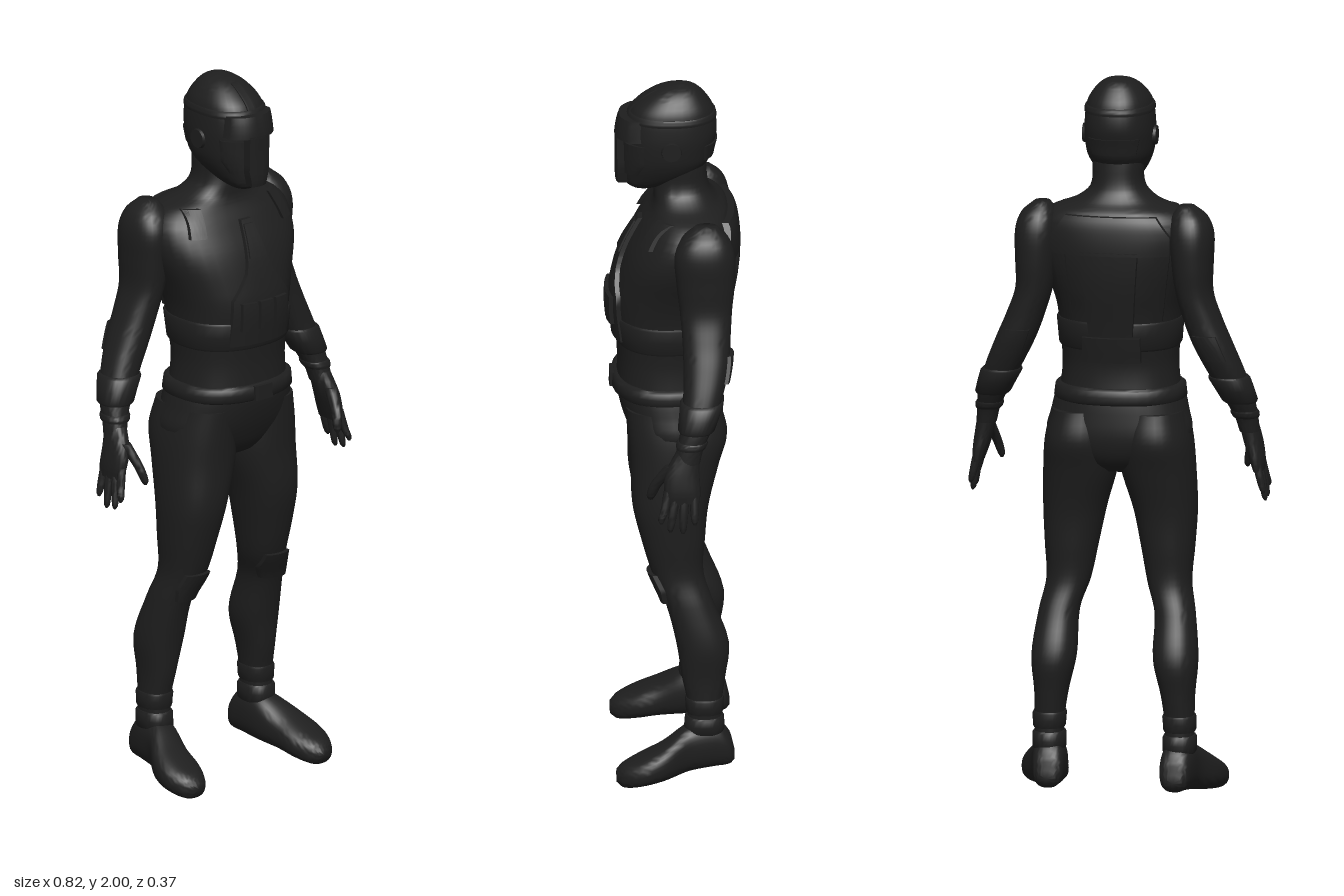
import * as THREE from 'three';
import { toCreasedNormals } from 'three/addons/utils/BufferGeometryUtils.js';

// Sections, top to bottom or back to front: [along, centreX, halfWidth, zFront, zBack]
const TORSO = [
  [1.10, 0, .168, .152, -.128], [1.20, 0, .158, .15, -.12], [1.27, 0, .162, .155, -.13], [1.36, 0, .171, .163, -.145],
  [1.42, 0, .187, .157, -.158], [1.52, 0, .222, .128, -.168], [1.60, 0, .22, .085, -.163], [1.64, 0, .182, .058, -.148],
  [1.665, 0, .115, .05, -.12], [1.70, 0, .075, .05, -.1], [1.77, 0, .07, .04, -.092]];
const PELVIS = [
  [.91, 0, .05, .03, -.07], [.94, 0, .12, .085, -.115], [1.0, 0, .195, .122, -.138],
  [1.08, 0, .186, .148, -.136], [1.15, 0, .168, .155, -.126]];
const HEAD = [
  [1.698, 0, .028, .11, .04], [1.71, 0, .045, .125, .01], [1.74, 0, .068, .13, -.06], [1.78, 0, .087, .13, -.1],
  [1.82, 0, .094, .13, -.112], [1.87, 0, .095, .13, -.122], [1.93, 0, .087, .112, -.112], [1.965, 0, .067, .075, -.09],
  [1.99, 0, .038, .028, -.063], [2.0, 0, .006, -.018, -.032]];
const LEG = [
  [.12, .18, .038, -.03, -.13], [.22, .18, .04, -.035, -.128], [.30, .175, .046, -.02, -.138], [.40, .168, .061, -.005, -.148],
  [.52, .16, .055, .025, -.105], [.60, .14, .06, .06, -.08], [.70, .133, .073, .09, -.085], [.80, .125, .086, .113, -.095],
  [.92, .107, .101, .118, -.125], [1.0, .104, .097, .124, -.146], [1.08, .1, .083, .13, -.13]];
const ARM = [
  [1.03, .364, .027, .01, -.062], [1.07, .357, .031, 0, -.072], [1.12, .342, .04, -.01, -.095], [1.20, .308, .05, -.018, -.125],
  [1.28, .272, .054, -.02, -.145], [1.35, .244, .052, -.018, -.15], [1.42, .222, .05, -.012, -.155], [1.50, .216, .056, -.003, -.163],
  [1.58, .213, .06, .002, -.163], [1.63, .208, .048, -.02, -.145], [1.66, .2, .022, -.055, -.115]];
const PALM = [
  [.92, .388, .014, .03, -.06], [.95, .383, .02, .037, -.062], [1.0, .372, .025, .033, -.06], [1.06, .36, .026, .003, -.062]];
// Along z here: [z, centreX, halfWidth, -sole, -top]
const FOOT = [
  [-.163, .175, .02, -.055, -.08], [-.15, .175, .037, -.042, -.13], [-.11, .178, .045, -.037, -.17], [-.04, .186, .05, -.028, -.162],
  [.03, .213, .062, -.016, -.118], [.09, .222, .063, -.006, -.088], [.14, .224, .041, 0, -.064], [.16, .222, .018, -.012, -.046]];

const mirror = (secs, s) => secs.map(([y, x, ...rest]) => [y, x * s, ...rest]);
const inflate = (secs, d) => secs.map(([y, x, r, f, b]) => [y, x, r + d, f + d, b - d]);

// Smooth interpolation of a section list at height y
function sample(secs, y) {
  let i = 0;
  while (i < secs.length - 2 && y > secs[i + 1][0]) i++;
  const a = secs[i], b = secs[i + 1], p = secs[i - 1] || a, n = secs[i + 2] || b;
  const h = b[0] - a[0], t = Math.min(1, Math.max(0, (y - a[0]) / h));
  return a.map((v, k) => {
    const m0 = (b[k] - p[k]) / (b[0] - p[0]) * h, m1 = (n[k] - v) / (n[0] - a[0]) * h;
    const t2 = t * t, t3 = t2 * t;
    return (2 * t3 - 3 * t2 + 1) * v + (t3 - 2 * t2 + t) * m0 + (3 * t2 - 2 * t3) * b[k] + (t3 - t2) * m1;
  });
}

function geometry(pos, idx, crease) {
  const g = new THREE.BufferGeometry();
  g.setAttribute('position', new THREE.Float32BufferAttribute(pos, 3));
  g.setIndex(idx);
  return toCreasedNormals(g, crease);
}

// Closed body through superellipse rings at the given heights
function loft(secs, heights, power = 2.3, N = 36) {
  const pos = [], idx = [], e = 2 / power;
  const curve = (v) => Math.sign(v) * Math.abs(v) ** e;
  const rings = heights.map((y) => sample(secs, y));
  for (const [y, x, r, f, b] of rings)
    for (let i = 0; i < N; i++) {
      const a = i / N * Math.PI * 2;
      pos.push(x + Math.max(.002, r) * curve(Math.cos(a)), y, (f + b) / 2 + (f - b) / 2 * curve(Math.sin(a)));
    }
  const last = rings.length - 1;
  for (const k of [0, last]) pos.push(rings[k][1], rings[k][0], (rings[k][3] + rings[k][4]) / 2);
  const c0 = rings.length * N;
  for (let i = 0; i < N; i++) {
    const n = (i + 1) % N;
    for (let j = 0; j < last; j++) {
      const p = j * N + i, q = j * N + n;
      idx.push(p, p + N, q, q, p + N, q + N);
    }
    idx.push(c0, i, n, c0 + 1, last * N + n, last * N + i);
  }
  return geometry(pos, idx, 1.0);
}

function body(secs, power, N) {
  const ys = [];
  secs.forEach((s, i) => { if (i) for (let k = 0; k < 5; k++) ys.push(secs[i - 1][0] + (s[0] - secs[i - 1][0]) * k / 5); });
  return loft(secs, [...ys, secs[secs.length - 1][0]], power, N);
}

// Raised ring around a body between two heights, with softened edges
function band(secs, y0, y1, d) {
  const h = y1 - y0, k = Math.min(.006, h / 4), pos = [y0, y0 + k, (y0 + y1) / 2, y1 - k, y1];
  const cut = pos.map((y, i) => inflate([sample(secs, y)], i % 4 ? d : d * .5)[0]);
  return loft(cut, pos);
}

// Raised plate hugging the front (side 1) or back (side -1); rows are [y, xMin, xMax], rising
function plate(secs, rows, d, side = 1) {
  const U = 16, V = (rows.length - 1) * 5, W = U + 3, pos = [], idx = [];
  for (let j = -1; j <= V + 1; j++)
    for (let i = -1; i <= U + 1; i++) {
      const edge = i < 0 || j < 0 || i > U || j > V;
      const u = Math.min(U, Math.max(0, i)) / U, v = Math.min(V, Math.max(0, j)) / 5;
      const k = Math.min(rows.length - 2, Math.floor(v)), t = v - k;
      const [y, x0, x1] = rows[k].map((q, c) => q + (rows[k + 1][c] - q) * t);
      const [, cx, r, f, b] = sample(secs, y), x = x0 + (x1 - x0) * u;
      const rest = Math.max(0, 1 - Math.min(1, Math.abs((x - cx) / r)) ** 2.3) ** (1 / 2.3);
      pos.push(x, y, (f + b) / 2 + side * ((f - b) / 2 * rest + (edge ? -.006 : d)));
    }
  for (let j = 0; j < V + 2; j++)
    for (let i = 0; i < W - 1; i++) {
      const p = j * W + i, q = p + W;
      idx.push(...(side > 0 ? [p, p + 1, q + 1, p, q + 1, q] : [p, q + 1, p + 1, p, q, q + 1]));
    }
  return geometry(pos, idx, .7);
}

export function createModel() {
  const model = new THREE.Group();
  model.name = 'armouredFigure';
  const suit = new THREE.MeshStandardMaterial({ color: 0x1e1e1e });
  suit.name = 'blackSuit';
  const add = (name, geo) => {
    const m = new THREE.Mesh(geo, suit);
    m.name = name;
    model.add(m);
    return m;
  };
  const sym = (rows) => rows.map(([y, x]) => [y, -x, x]);

  // Torso, hips and belt
  add('torso', body(TORSO));
  add('hips', body(PELVIS));
  add('belt', band(TORSO, 1.105, 1.15, .014));
  add('buckle', plate(inflate(TORSO, .012), sym([[1.107, .03], [1.148, .03]]), .008));
  add('vestHem', band(TORSO, 1.255, 1.335, .006));

  // Chest armour and pouches
  add('chestPlate', plate(TORSO, sym([[1.27, .1], [1.40, .095], [1.47, .045], [1.50, .036], [1.605, .018]]), .012));
  add('chestInset', plate(inflate(TORSO, .012), sym([[1.51, .03], [1.595, .016]]), .005));
  for (const x of [-.055, 0, .055]) add('pouch', plate(TORSO, [[1.315, x - .022, x + .022], [1.395, x - .022, x + .022]], .023));

  // Back harness
  add('backYoke', plate(TORSO, sym([[1.53, .165], [1.58, .165], [1.635, .125]]), .018, -1));
  add('spinePlate', plate(TORSO, sym([[1.30, .06], [1.54, .08]]), .018, -1));
  add('backPouch', plate(TORSO, sym([[1.225, .08], [1.295, .08]]), .02, -1));

  // Helmet and mask
  add('head', body(HEAD));
  add('helmetRim', band(HEAD, 1.905, 1.925, .004));
  add('visor', plate(HEAD, sym([[1.855, .078], [1.915, .07]]), .026));
  add('mouthGrille', plate(HEAD, sym([[1.715, .024], [1.76, .034], [1.86, .034]]), .026));
  add('crestStrip', plate(HEAD, sym([[1.925, .014], [1.96, .014], [1.985, .012]]), .005));
  add('neckGuard', plate(HEAD, sym([[1.795, .06], [1.84, .07]]), .006, -1));

  for (const s of [1, -1]) {
    const side = (secs) => mirror(secs, s);
    const rows = (list) => list.map(([y, a, b]) => (s > 0 ? [y, a, b] : [y, -b, -a]));

    // Helmet sides
    add('cheekPlate', plate(HEAD, rows([[1.75, .038, .06], [1.785, .04, .078], [1.845, .04, .083]]), .01));
    const ear = add('earCover', new THREE.CylinderGeometry(.026, .03, .016, 20));
    ear.rotation.z = -s * Math.PI / 2;
    ear.position.set(s * .094, 1.835, .005);

    // Shoulder straps
    add('frontStrap', plate(TORSO, rows([[1.575, .135, .175], [1.645, .12, .16]]), .012));
    add('backStrap', plate(TORSO, rows([[1.34, .11, .135], [1.54, .125, .165]]), .01, -1));

    // Arm with forearm guards
    const arm = side(ARM);
    add('arm', body(arm));
    add('elbowPad', plate(arm, rows([[1.24, .25, .318], [1.31, .225, .29]]), .01, -1));
    add('forearmGuard', band(arm, 1.115, 1.19, .008));
    add('wristBand', band(arm, 1.07, 1.09, .005));

    // Hand
    add('palm', body(side(PALM)));
    [[.026, .045, .865], [.004, .02, .84], [-.02, -.014, .835], [-.045, -.046, .86]].forEach(([z0, z1, tip]) => {
      add('finger', body(side([
        [tip, .405, .003, z1 + .004, z1 - .004], [tip + .01, .403, .008, z1 + .009, z1 - .009],
        [.90, .396, .011, (z0 + z1) / 2 + .012, (z0 + z1) / 2 - .012], [.955, .384, .012, z0 + .012, z0 - .012]]), 2, 12));
    });
    add('thumb', body(side([
      [.91, .34, .004, .078, .066], [.922, .341, .01, .083, .058], [.96, .35, .013, .073, .04], [1.02, .365, .016, .035, -.01]]), 2, 14));

    // Leg, knee pad and ankle cuffs
    const leg = side(LEG);
    add('leg', body(leg));
    add('kneePad', plate(leg, rows([[.525, .115, .19], [.56, .1, .192], [.605, .1, .18]]), .013));
    add('lowerCuff', band(leg, .14, .19, .007));
    add('upperCuff', band(leg, .2, .245, .005));

    // Boot, lofted lengthways
    add('boot', body(side(FOOT), 2.5).rotateX(Math.PI / 2));
  }
  return model;
}
